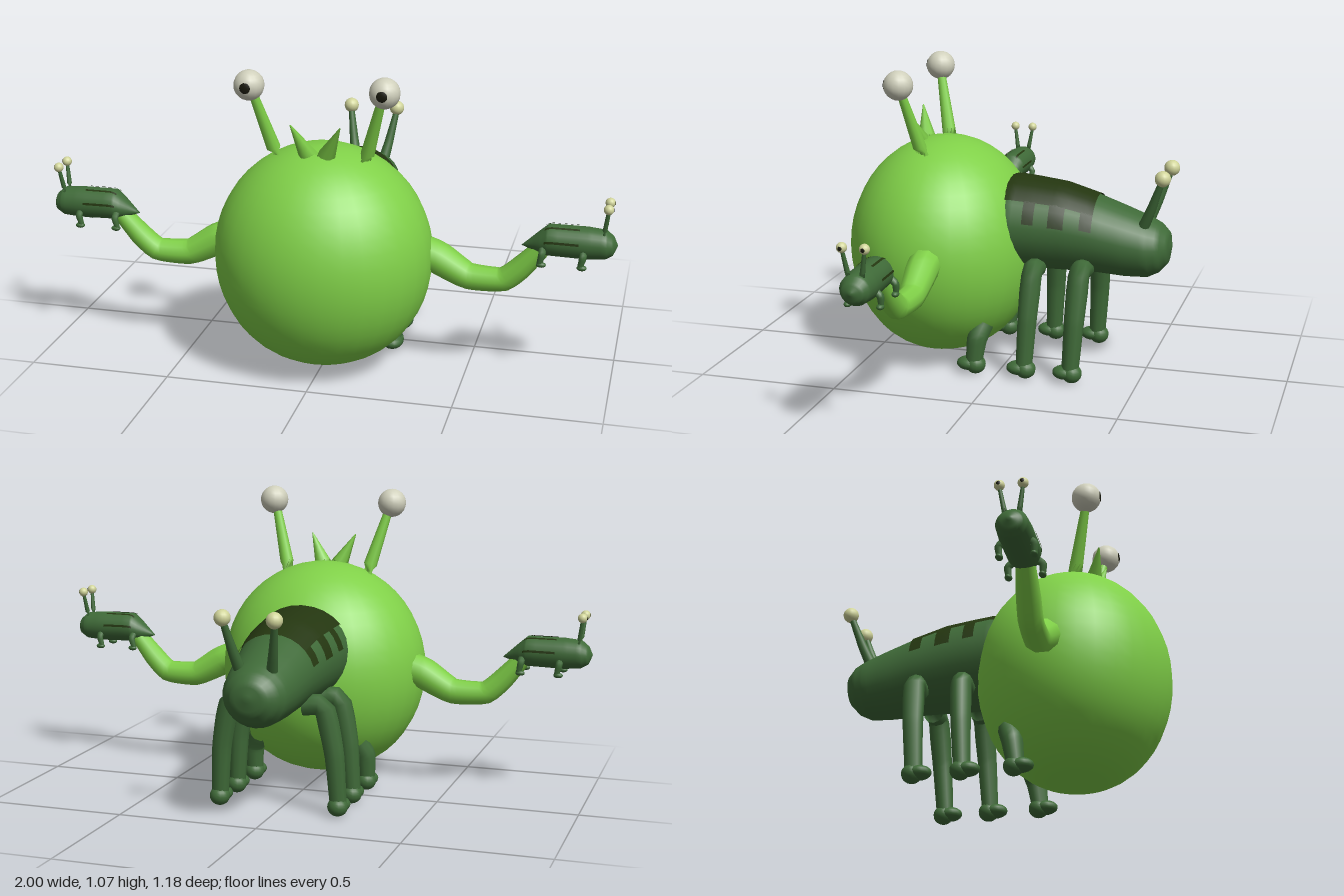
import * as THREE from 'three';
import { mergeVertices } from 'three/addons/utils/BufferGeometryUtils.js';

const mat = (name, color, double) => {
  const m = new THREE.MeshStandardMaterial({ color });
  m.name = name;
  if (double) m.side = THREE.DoubleSide;
  return m;
};

export function createModel() {
  const lime = mat('lime skin', 0x80d048, true);
  const green = mat('dark green skin', 0x3f6a38, true);
  const moss = mat('moss markings', 0x243610, true);
  const white = mat('eye white', 0xd0d0bc);
  const cream = mat('pale eye', 0xd0d49a);
  const black = mat('pupil', 0x18180c, true);
  const model = new THREE.Group();
  const V = (x, y, z) => new THREE.Vector3(x, y, z);

  const add = (parent, name, geo, material, x = 0, y = 0, z = 0) => {
    const mesh = new THREE.Mesh(geo, material);
    mesh.name = name;
    mesh.position.set(x, y, z);
    parent.add(mesh);
    return mesh;
  };
  const ball = (parent, name, r, material, p, scale = [1, 1, 1]) => {
    const m = add(parent, name, new THREE.SphereGeometry(r, 16, 12), material, ...p);
    m.scale.set(...scale);
    return m;
  };

  // Tapered tube through points, with one radius per point
  const limb = (parent, name, pts, radii, material, sides = 10) => {
    const curve = new THREE.CatmullRomCurve3(pts.map(p => V(...p)), false, 'catmullrom', 0.25);
    const rows = (pts.length - 1) * 5;
    const geo = new THREE.TubeGeometry(curve, rows, 1, sides);
    const pos = geo.attributes.position, v = V();
    for (let i = 0; i < pos.count; i++) {
      const u = Math.floor(i / (sides + 1)) / rows;
      const k = Math.min(u * (radii.length - 1), radii.length - 1.0001), j = Math.floor(k);
      const r = THREE.MathUtils.lerp(radii[j], radii[j + 1], k - j);
      const c = curve.getPointAt(u);
      v.fromBufferAttribute(pos, i).sub(c).multiplyScalar(r).add(c);
      pos.setXYZ(i, v.x, v.y, v.z);
    }
    return add(parent, name, geo, material);
  };

  // Skin patch over sections [z, half width, top, bottom]; t counts sections, a is the angle from the top
  const skin = (secs, t0, t1, a0, a1, off = 0) => {
    const geo = new THREE.PlaneGeometry(1, 1, Math.ceil((a1 - a0) * 4), Math.ceil((t1 - t0) * 4));
    const pos = geo.attributes.position;
    for (let i = 0; i < pos.count; i++) {
      const a = a0 + (a1 - a0) * (pos.getX(i) + 0.5);
      const t = t0 + (t1 - t0) * (pos.getY(i) + 0.5);
      const j = Math.min(Math.floor(t), secs.length - 2);
      const [z, w, top, bot] = secs[j].map((s, k) => THREE.MathUtils.lerp(s, secs[j + 1][k], t - j));
      pos.setXYZ(i, (w + off) * Math.sin(a), (top + bot) / 2 + ((top - bot) / 2 + off) * Math.cos(a), z);
    }
    geo.deleteAttribute('uv');
    geo.deleteAttribute('normal');
    const out = mergeVertices(geo, 1e-5);
    out.computeVertexNormals();
    return out;
  };

  // Round main body, slightly flat underneath
  const profile = [];
  for (let i = 0; i <= 24; i++) {
    const a = Math.PI * i / 24;
    const s = Math.max(Math.sin(a), 0);
    profile.push(new THREE.Vector2(0.38 * (i < 12 ? s ** 0.9 : s), 0.417 - 0.392 * Math.cos(a)));
  }
  profile[0].x = profile[24].x = 0;
  add(model, 'body', new THREE.LatheGeometry(profile, 32), lime, 0, 0, 0.25).scale.z = 0.9;

  // Rear body with a dark saddle and side stripes
  const rear = [
    [0.06, 0.17, 0.66, 0.36], [-0.02, 0.18, 0.68, 0.35], [-0.1, 0.172, 0.672, 0.35],
    [-0.2, 0.16, 0.66, 0.35], [-0.32, 0.145, 0.625, 0.35], [-0.42, 0.13, 0.59, 0.343],
    [-0.5, 0.115, 0.56, 0.345], [-0.54, 0.095, 0.54, 0.365], [-0.57, 0.06, 0.51, 0.4],
    [-0.582, 0, 0.46, 0.46],
  ];
  add(model, 'rearBody', skin(rear, 0, 9, 0, Math.PI * 2), green);
  add(model, 'saddle', skin(rear, 0.8, 4, -0.88, 0.88, 0.005), moss);
  for (const [t0, t1, a] of [[1.75, 2.2, 1.36], [2.7, 3.2, 1.38], [3.65, 4, 1.3]]) {
    add(model, 'saddleStripe', skin(rear, t0, t1, 0.86, a, 0.005), moss);
    add(model, 'saddleStripe', skin(rear, t0, t1, -a, -0.86, 0.005), moss);
  }

  // Small creature held at the end of each arm
  const small = [
    [0.16, 0, 0.495, 0.495], [0.1, 0.042, 0.55, 0.475], [0.07, 0.055, 0.576, 0.468],
    [-0.06, 0.055, 0.576, 0.465], [-0.12, 0.051, 0.57, 0.47], [-0.145, 0.036, 0.55, 0.485],
    [-0.16, 0, 0.52, 0.52],
  ];
  const handCreature = s => {
    const g = new THREE.Group();
    g.name = 'handCreature';
    add(g, 'handCreatureBody', skin(small, 0, 6, 0, Math.PI * 2), green);
    for (const a of [-1.45, -0.5, 0.4, 1.35]) {
      add(g, 'handCreatureStripe', skin(small, 1.6, 2.8, a, a + 0.14, 0.003), moss);
    }
    for (const m of [-1, 1]) {
      limb(g, 'handCreatureStalk', [[m * 0.022, 0.56, -0.113], [m * 0.037, 0.65, -0.125]], [0.009, 0.006], green, 8);
      ball(g, 'handCreatureEye', 0.017, cream, [m * 0.037, 0.655, -0.125]);
      const pupil = add(g, 'handCreaturePupil', new THREE.SphereGeometry(0.0177, 10, 3, 0, Math.PI * 2, 0, 0.4),
        black, m * 0.037, 0.655, -0.125);
      pupil.rotation.x = -Math.PI / 2;
      for (const z of [0.085, -0.05]) {
        limb(g, 'handCreatureLeg', [[m * 0.04, 0.5, z], [m * 0.056, 0.485, z], [m * 0.054, 0.452, z + 0.008]],
          [0.013, 0.012, 0.009], green, 8);
        ball(g, 'handCreatureFoot', 0.012, green, [m * 0.054, 0.45, z + 0.002], [1, 0.8, 1.4]);
      }
    }
    g.position.set(s * 0.84, 0, 0.225);
    g.rotation.y = -s * Math.PI / 2;
    model.add(g);
  };

  for (const s of [-1, 1]) {
    // Arm and its creature
    limb(model, 'arm', [[s * 0.32, 0.44, 0.21], [s * 0.39, 0.42, 0.21], [s * 0.5, 0.36, 0.21],
      [s * 0.62, 0.36, 0.215], [s * 0.68, 0.41, 0.22], [s * 0.75, 0.49, 0.225]],
      [0.06, 0.056, 0.046, 0.042, 0.04, 0.032], lime);
    handCreature(s);

    // Main eye on its stalk
    limb(model, 'eyeStalk', [[s * 0.15, 0.75, 0.28], [s * 0.22, 1.0, 0.338]], [0.027, 0.015], lime);
    ball(model, 'eye', 0.052, white, [s * 0.23, 1.023, 0.342]);
    const pupil = add(model, 'pupil', new THREE.SphereGeometry(0.0528, 14, 4, 0, Math.PI * 2, 0, 0.36),
      black, s * 0.23, 1.023, 0.342);
    pupil.rotation.x = Math.PI / 2;

    // Horn on the crown
    limb(model, 'horn', [[s * 0.022, 0.77, 0.325], [s * 0.085, 0.9, 0.362]], [0.038, 0.002], lime, 8);

    // Rear eye on its stalk
    limb(model, 'rearEyeStalk', [[s * 0.055, 0.53, -0.485], [s * 0.07, 0.6, -0.515], [s * 0.09, 0.71, -0.555]],
      [0.021, 0.016, 0.011], green);
    ball(model, 'rearEye', 0.028, cream, [s * 0.09, 0.72, -0.558]);

    // Three legs on each side, with feet pointing forward
    const legs = [
      [[s * 0.19, 0.18, 0.05], [s * 0.215, 0.13, 0.068], [s * 0.217, 0.04, 0.08]],
      [[s * 0.11, 0.38, -0.12], [s * 0.175, 0.375, -0.12], [s * 0.205, 0.22, -0.112], [s * 0.217, 0.04, -0.103]],
      [[s * 0.1, 0.385, -0.29], [s * 0.17, 0.385, -0.288], [s * 0.205, 0.22, -0.28], [s * 0.217, 0.04, -0.27]],
    ];
    for (const pts of legs) {
      limb(model, 'leg', pts, [0.036, 0.038, 0.034, 0.03], green);
      const end = pts[pts.length - 1];
      ball(model, 'foot', 0.036, green, [end[0], 0.034, end[2] - 0.006], [1, 0.94, 1]);
      ball(model, 'toe', 0.033, green, [end[0], 0.036, end[2] + 0.02], [1.1, 0.75, 1.3]);
    }
  }
  return model;
}
